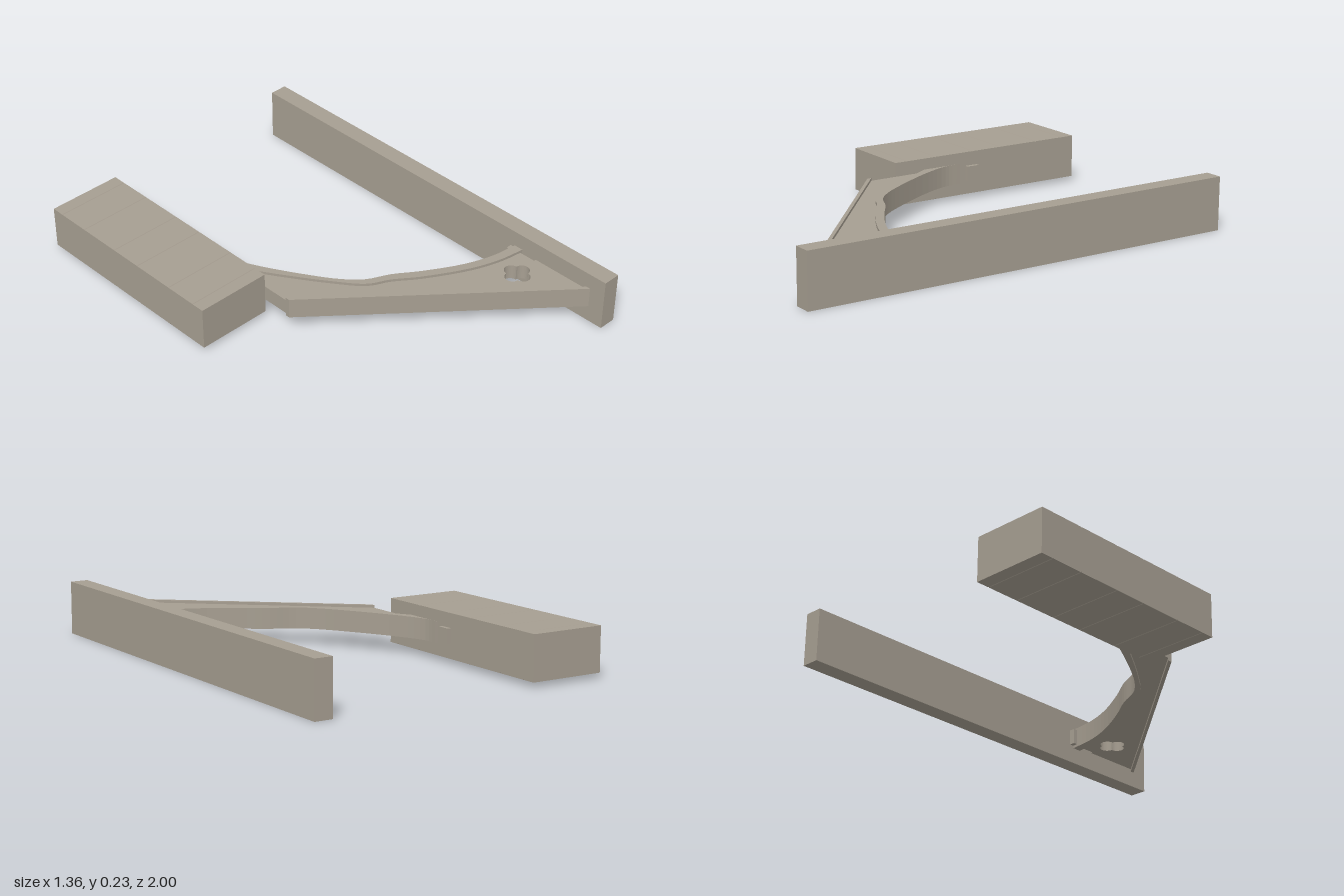
import * as THREE from 'three';

export function createModel() {
  const model = new THREE.Group();
  const stone = new THREE.MeshStandardMaterial({ color: 0xa69e91 });
  stone.name = 'weathered stone';

  const add = (name, geometry) => {
    const mesh = new THREE.Mesh(geometry, stone);
    mesh.name = name;
    model.add(mesh);
    return mesh;
  };

  // Box given by its lower and upper corners
  const box = (name, a, b) => {
    const mesh = add(name, new THREE.BoxGeometry(b[0] - a[0], b[1] - a[1], b[2] - a[2]));
    mesh.position.set((a[0] + b[0]) / 2, (a[1] + b[1]) / 2, (a[2] + b[2]) / 2);
  };

  // Plan outline in (x, z), extruded upward from y0 to y1
  const plate = (name, outline, y0, y1, holes = []) => {
    const shape = new THREE.Shape(outline.map(([x, z]) => new THREE.Vector2(x, -z)));
    shape.holes = holes;
    const geometry = new THREE.ExtrudeGeometry(shape, {
      depth: y1 - y0, bevelEnabled: false, curveSegments: 8,
    });
    add(name, geometry.rotateX(-Math.PI / 2).translate(0, y0, 0));
  };

  const smooth = (points, n) =>
    new THREE.CatmullRomCurve3(points.map(([x, z]) => new THREE.Vector3(x, 0, z)))
      .getPoints(n).map((p) => [p.x, p.z]);

  // Long beam
  box('beam', [0.6, 0, -1], [0.68, 0.235, 1]);

  // Masonry block with fine joints cut across its upper and lower faces
  const joints = [-0.94, -0.79, -0.59, -0.44, -0.24, -0.09];
  const notched = (y, depth) => [
    [-1, y],
    ...joints.flatMap((z) => [[z - 0.002, y], [z, y + depth], [z + 0.002, y]]),
    [-0.03, y],
  ];
  const section = [...notched(0.022, 0.003), ...notched(0.215, -0.003).reverse()];
  const blockShape = new THREE.Shape(section.map(([z, y]) => new THREE.Vector2(-z, y)));
  add('masonryBlock', new THREE.ExtrudeGeometry(blockShape, { depth: 0.34, bevelEnabled: false })
    .rotateY(Math.PI / 2).translate(-0.68, 0, 0));

  // Curved edges of the arch rib
  const outer = smooth([
    [-0.34, -0.37], [-0.335, -0.29], [-0.29, -0.17], [-0.18, 0.03], [-0.09, 0.165],
    [-0.02, 0.235], [0.08, 0.285], [0.19, 0.36], [0.35, 0.45], [0.48, 0.495], [0.6, 0.512],
  ], 40);
  const inner = smooth([
    [-0.34, -0.18], [-0.235, -0.01], [-0.13, 0.145], [-0.035, 0.262], [0.055, 0.31],
    [0.16, 0.385], [0.35, 0.49], [0.48, 0.535], [0.6, 0.555],
  ], 40);
  plate('archRib', [...outer, ...inner.slice().reverse()], 0.073, 0.165);

  // Four-lobed opening, traced lobe by lobe
  const quatrefoil = new THREE.Path();
  for (let i = 0; i < 4; i++) {
    const a = (i * Math.PI) / 2;
    quatrefoil.absarc(0.474 + 0.032 * Math.cos(a), -0.638 + 0.032 * Math.sin(a), 0.032,
      a - Math.PI / 2, a + Math.PI / 2, false);
  }

  // Recessed web between the arch and the diagonal, with a slit beside the beam
  plate('web', [
    ...inner.filter(([x]) => x < 0.59), [0.59, 0.552], [0.59, 0.63], [0.6, 0.63],
    [0.6, 0.915], [-0.34, 0.105],
  ], 0.085, 0.153, [quatrefoil]);

  // Raised strip along the diagonal edge
  plate('diagonalRib', [[-0.34, 0.095], [0.6, 0.905], [0.6, 0.925], [-0.34, 0.115]], 0.073, 0.165);

  // Small bosses at the ends of the arch
  box('blockBoss', [-0.345, 0.087, -0.46], [-0.322, 0.152, -0.4]);
  box('beamBoss', [0.575, 0.085, 0.49], [0.602, 0.155, 0.52]);

  return model;
}
